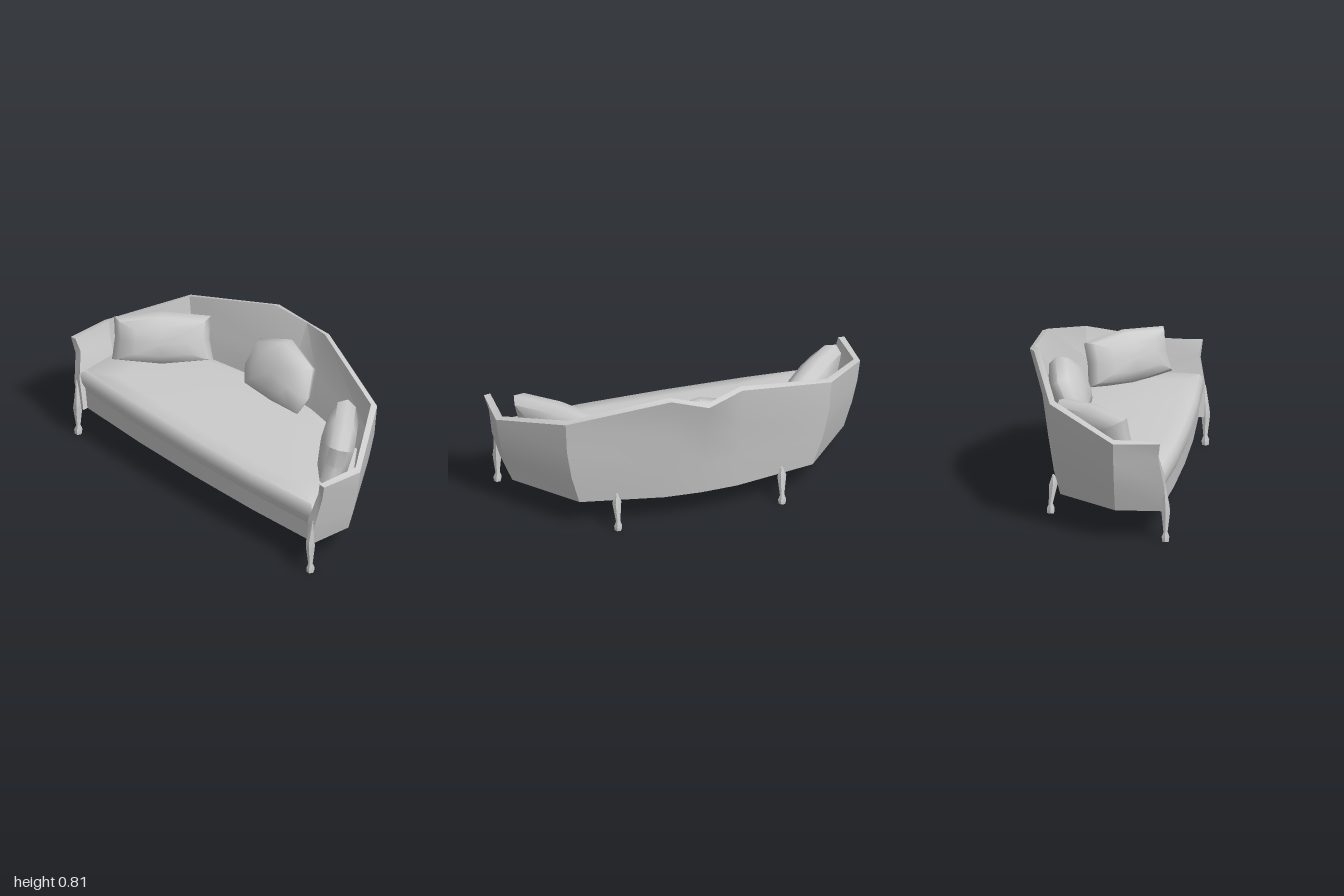
import * as THREE from 'three';
import { toCreasedNormals } from 'three/addons/utils/BufferGeometryUtils.js';

const material = new THREE.MeshStandardMaterial({ color: 0xcccccc, side: THREE.DoubleSide });

// Skin closed rings (even point count, counter-clockwise about the loft direction) and cap both ends.
function loft(name, rings, crease = 0.7) {
  const n = rings[0].length, last = (rings.length - 1) * n, index = [];
  for (let i = 0; i < rings.length - 1; i++) {
    for (let j = 0; j < n; j++) {
      const a = i * n + j, b = i * n + (j + 1) % n;
      index.push(a, b, b + n, a, b + n, a + n);
    }
  }
  for (let k = 0; k < n / 2 - 1; k++) {
    const [a, b, c, d] = [k, k + 1, n - 2 - k, n - 1 - k];
    index.push(c, b, a, d, c, a);
    index.push(last + a, last + b, last + c, last + a, last + c, last + d);
  }
  const g = new THREE.BufferGeometry();
  g.setAttribute('position', new THREE.Float32BufferAttribute(rings.flat(2), 3));
  g.setIndex(index);
  const mesh = new THREE.Mesh(toCreasedNormals(g, crease), material);
  mesh.name = name;
  return mesh;
}

// Wall sections from the back centre to the left arm front:
// four points up the outside, then four down the inside.
const wallSections = [
  [[0, .16, -.285], [0, .35, -.317], [0, .55, -.35], [0, .76, -.425],
    [0, .775, -.4], [0, .55, -.31], [0, .38, -.25], [0, .16, -.25]],
  [[.2, .16, -.275], [.2, .35, -.305], [.2, .57, -.335], [.195, .805, -.38],
    [.195, .815, -.35], [.2, .57, -.29], [.2, .38, -.25], [.2, .16, -.24]],
  [[.64, .16, -.19], [.69, .33, -.21], [.72, .5, -.225], [.73, .675, -.235],
    [.71, .685, -.21], [.68, .52, -.2], [.64, .38, -.17], [.62, .16, -.15]],
  [[.91, .16, .13], [.955, .3, .13], [.985, .43, .13], [1, .545, .13],
    [.965, .56, .13], [.95, .45, .13], [.92, .36, .13], [.88, .16, .13]],
  [[.9, .16, .395], [.94, .3, .395], [.965, .46, .365], [.99, .55, .375],
    [.955, .555, .375], [.93, .48, .36], [.9, .34, .395], [.87, .16, .395]],
];

// Half plan of the seat, front centre round to back centre.
const seatHalf = [[0, .4], [.45, .393], [.89, .37], [.91, .13], [.64, -.18], [.2, -.26], [0, -.27]];
const seatPlan = [...seatHalf, ...seatHalf.slice(1, -1).reverse().map(([x, z]) => [-x, z])];
const seatRing = ([y, sx, sz]) => seatPlan.map(([x, z]) => [x * sx, y, z * sz]);

// Carved leg; rows are height, outward shift, forward shift, radius.
function leg(name, x, z, rows) {
  return loft(name, rows.map(([y, dx, dz, r]) =>
    Array.from({ length: 6 }, (_, i) => {
      const a = i * Math.PI / 3;
      return [x + Math.sign(x) * dx + r * Math.cos(a), y, z + dz - r * Math.sin(a)];
    })));
}

// Stuffed pillow from a flat outline, swelling to half thickness t on both sides.
function pillow(name, outline, t) {
  const swell = [[.15, -1], [.55, -.9], [.88, -.55], [1, 0], [.88, .55], [.55, .9], [.15, 1]];
  return loft(name, swell.map(([s, w]) => outline.map(([u, v]) => [u * s, v * s, w * t])), 1.1);
}

export function createModel() {
  const group = new THREE.Group();

  // Curved back and arms in one sweep
  const mirrored = wallSections.slice(1).reverse().map(s => s.map(([x, y, z]) => [-x, y, z]));
  group.add(loft('backAndArms', [...mirrored, ...wallSections], 0.6));

  // Seat rail and bow-front cushion
  group.add(loft('seatBase', [[.16, .98, .985], [.275, .99, 1]].map(seatRing)));
  group.add(loft('seatCushion', [
    [.27, .97, 1.01], [.32, .995, 1.055], [.365, 1.02, 1.04],
    [.392, .99, .99], [.403, .8, .8], [.408, .3, .3],
  ].map(seatRing), 0.9));

  // Legs
  const foot = [[0, 0, 0, .02], [.025, 0, 0, .022], [.05, 0, 0, .012]];
  const frontRows = [...foot, [.16, .002, .002, .025], [.2, .002, .002, .02], [.32, .015, -.005, .006]];
  const backRows = [...foot, [.16, .003, .015, .025], [.21, .003, .015, .006]];
  for (const [side, s] of [['Left', 1], ['Right', -1]]) {
    group.add(leg('front' + side + 'Leg', s * .908, .397, frontRows));
    group.add(leg('back' + side + 'Leg', s * .45, -.262, backRows));
  }

  // Centre pillow, leaning on the back
  const centre = pillow('centrePillow', [
    [.24, -.06], [.205, .1], [0, .18], [-.205, .1],
    [-.24, -.06], [-.2, -.16], [0, -.17], [.2, -.16],
  ], .085);
  centre.position.set(0, .555, -.215);
  centre.rotation.x = -.42;
  group.add(centre);

  // Corner pillows, turned to follow the arms
  for (const [side, s] of [['left', 1], ['right', -1]]) {
    const outline = [
      [.27, -.12], [.25, 0], [.26, .12], [0, .145],
      [-.25, .115], [-.245, 0], [-.26, -.12], [0, -.145],
    ];
    const p = pillow(side + 'Pillow', outline, .09);
    p.rotation.order = 'YXZ';
    p.rotation.set(-.25, -s * .83, 0);
    p.position.set(s * .69, .53, .005);
    group.add(p);
  }
  return group;
}
